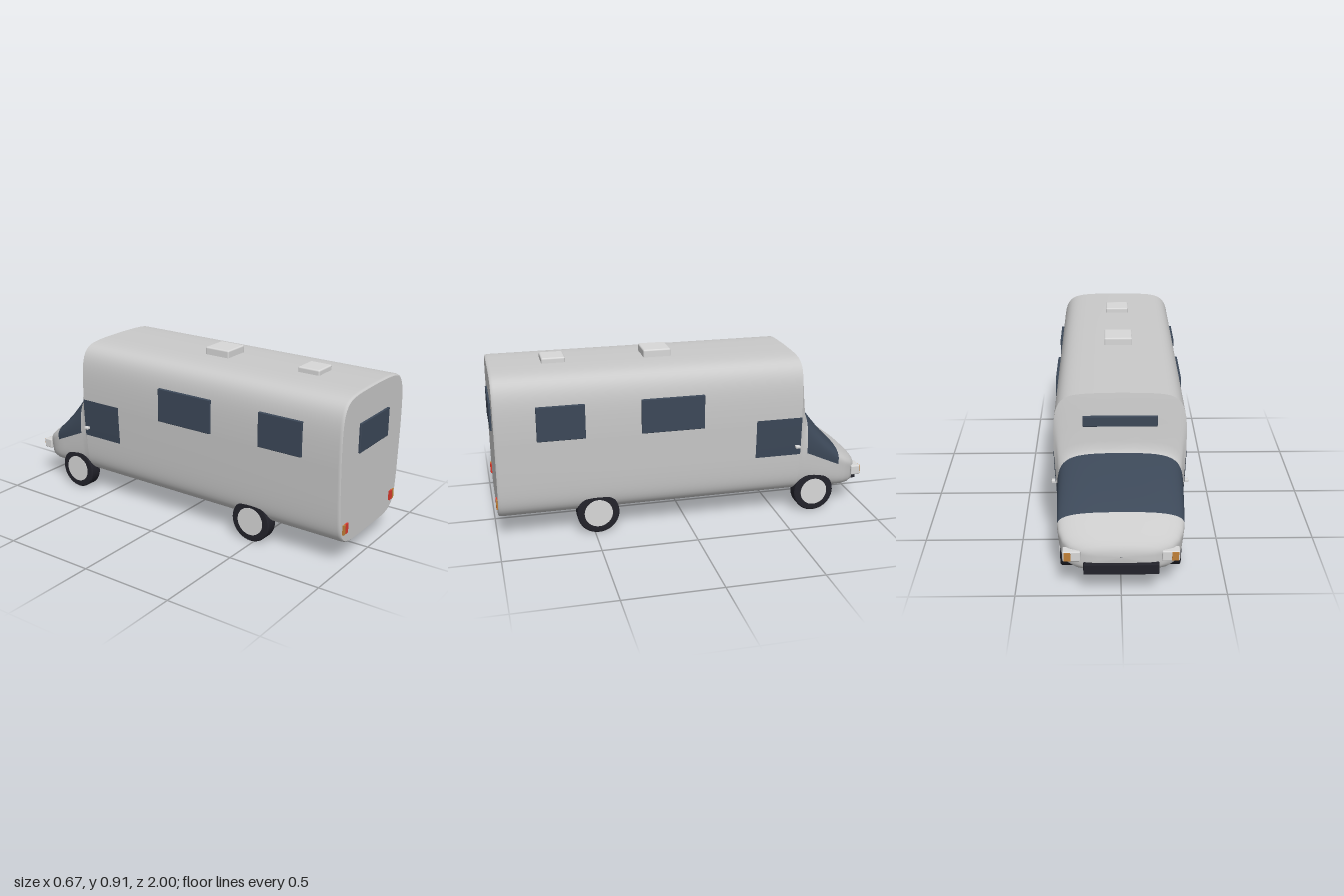
import * as THREE from 'three';
import { RoundedBoxGeometry } from 'three/addons/geometries/RoundedBoxGeometry.js';

const SEG = 20; // segments per quarter of a cross-section

function makeMaterial(name, color, side = THREE.FrontSide) {
  const m = new THREE.MeshStandardMaterial({ color, side });
  m.name = name;
  return m;
}

// Half width of the gently bowed side wall at height y
const wallX = (y) => 0.321 - 0.1 * (0.68 - y) ** 2;

// Closed cross-section: rounded below the belt line, rounded roof above it
function section({ z, top, bottom = 0.105, belt = 0.345, s = 1, pinch = 0, n = 8 }) {
  const half = [];
  for (let k = 0; k <= 2 * SEG; k++) {
    const upper = k >= SEG;
    let t = upper ? (k - SEG) / SEG : 1 - k / SEG;
    t -= (Math.sin(2 * Math.PI * t) / (2 * Math.PI)) * 0.8; // denser at both ends
    const a = (t * Math.PI) / 2;
    const p = 2 / (upper ? n : 5.5);
    const c = t > 0.9999 ? 0 : Math.cos(a) ** p;
    const v = Math.sin(a) ** p;
    const y = upper
      ? belt + (top - belt) * v - 0.015 * c * c * v * Math.min(1, (top - belt) / 0.2)
      : belt - (belt - bottom) * v;
    const squeeze = 1 - pinch * THREE.MathUtils.smoothstep(y, belt, belt + 0.2);
    half.push(new THREE.Vector3(c * wallX(y) * s * squeeze, y, z));
  }
  const mirrored = half.slice(1, -1).reverse().map((p) => new THREE.Vector3(-p.x, p.y, p.z));
  return [...half, ...mirrored];
}

// Skin through rings running from +z to -z; isGlass(i, j) picks the second material
function loft(rings, isGlass = () => false) {
  const n = rings[0].length;
  const faces = [[], []];
  for (let i = 0; i < rings.length - 1; i++) {
    for (let j = 0; j < n; j++) {
      const k = (j + 1) % n;
      const a = i * n + j, b = i * n + k, c = a + n, d = b + n;
      faces[isGlass(i, j) ? 1 : 0].push(a, c, b, b, c, d);
    }
  }
  const g = new THREE.BufferGeometry().setFromPoints(rings.flat());
  g.setIndex([...faces[0], ...faces[1]]);
  g.addGroup(0, faces[0].length, 0);
  g.addGroup(faces[0].length, faces[1].length, 1);
  g.computeVertexNormals();
  return g;
}

export function createModel() {
  const model = new THREE.Group();
  model.name = 'camperVan';
  const paint = makeMaterial('bodyGrey', 0xcacaca);
  const glass = makeMaterial('darkGlass', 0x3c4858, THREE.DoubleSide);
  const rubber = makeMaterial('blackRubber', 0x23232b);
  const trim = makeMaterial('lightTrim', 0xd8d8d8);
  const red = makeMaterial('tailRed', 0xdc3a2e);
  const amber = makeMaterial('signalAmber', 0xc08038);

  function add(name, geometry, material, parent = model) {
    const mesh = new THREE.Mesh(geometry, material);
    mesh.name = name;
    parent.add(mesh);
    return mesh;
  }
  // Box from its extents, optionally with rounded edges
  function block(name, material, [x0, x1], [y0, y1], [z0, z1], r = 0) {
    const d = [Math.abs(x1 - x0), y1 - y0, z1 - z0];
    const g = r ? new RoundedBoxGeometry(...d, 3, r) : new THREE.BoxGeometry(...d);
    add(name, g, material).position.set((x0 + x1) / 2, (y0 + y1) / 2, (z0 + z1) / 2);
  }

  // Living cabin with a softened rear edge
  const cabin = [
    { z: 0.99, top: 0.861, bottom: 0.111, s: 0.98 },
    { z: 0.986, top: 0.866, bottom: 0.107, s: 0.992 },
    { z: 0.975, top: 0.869 },
    { z: 0.2, top: 0.869 },
    { z: -0.61, top: 0.869 },
  ].map(section);
  add('cabin', loft(cabin), [paint, glass]);
  const rear = new THREE.Shape(cabin[0].map((p) => new THREE.Vector2(p.x, p.y)));
  add('rearWall', new THREE.ShapeGeometry(rear), paint).position.z = 0.99;

  // Front wall, wraparound windscreen and bonnet
  // z, top, bottom, belt, width scale, upper pinch, corner sharpness
  const nose = [
    [-0.61, 0.869, 0.105, 0.345, 1, 0, 8],
    [-0.617, 0.82, 0.105, 0.345, 0.997, 0.02, 7],
    [-0.627, 0.73, 0.105, 0.345, 0.993, 0.04, 6.5],
    [-0.638, 0.63, 0.105, 0.345, 0.99, 0.05, 6],
    [-0.645, 0.595, 0.105, 0.345, 0.988, 0.05, 5.5],
    [-0.655, 0.575, 0.105, 0.343, 0.988, 0.05, 5],
    [-0.70, 0.515, 0.105, 0.323, 0.988, 0.04, 4.6],
    [-0.75, 0.452, 0.105, 0.3, 0.99, 0.03, 4.2],
    [-0.80, 0.396, 0.105, 0.278, 0.992, 0.01, 4],
    [-0.84, 0.357, 0.105, 0.26, 0.992, 0, 3.8],
    [-0.88, 0.325, 0.106, 0.243, 0.97, 0, 3.6],
    [-0.92, 0.297, 0.109, 0.226, 0.91, 0, 3.4],
    [-0.95, 0.275, 0.115, 0.213, 0.81, 0, 3.2],
    [-0.97, 0.256, 0.128, 0.206, 0.67, 0, 3],
    [-0.98, 0.24, 0.145, 0.202, 0.53, 0, 3],
    [-0.985, 0.222, 0.17, 0.2, 0.38, 0, 3],
    [-0.986, 0.202, 0.198, 0.2, 0.02, 0, 3],
  ].map(([z, top, bottom, belt, s, pinch, n]) => section({ z, top, bottom, belt, s, pinch, n }));
  add('nose', loft(nose, (i, j) => i >= 5 && i < 9 && j >= SEG && j < 3 * SEG), [paint, glass]);

  // Rear window, slot window over the cab, bumper
  block('rearWindow', glass, [-0.15, 0.15], [0.557, 0.706], [0.98, 1], 0.003);
  block('cabSlotWindow', glass, [-0.178, 0.178], [0.705, 0.757], [-0.638, -0.6], 0.003);
  block('bumper', rubber, [-0.177, 0.177], [0.114, 0.17], [-1, -0.955], 0.005);

  // Roof vents
  block('largeRoofVent', trim, [-0.074, 0.074], [0.855, 0.907], [0.042, 0.188], 0.008);
  block('smallRoofVent', trim, [-0.064, 0.064], [0.855, 0.895], [0.595, 0.717], 0.008);

  for (const s of [1, -1]) {
    const side = s > 0 ? 'left' : 'right';
    const span = (a, b) => [s * a, s * b];

    // Side windows
    block(side + 'MiddleWindow', glass, span(0.30, 0.331), [0.543, 0.722], [-0.077, 0.252], 0.003);
    block(side + 'RearWindow', glass, span(0.30, 0.331), [0.543, 0.722], [0.538, 0.782], 0.003);

    // Door window laid on the bowed wall
    const pane = new THREE.PlaneGeometry(0.25, 0.21, 1, 8).rotateY((s * Math.PI) / 2);
    pane.translate(0, 0.45, -0.486);
    const pos = pane.attributes.position;
    for (let i = 0; i < pos.count; i++) pos.setX(i, s * (wallX(pos.getY(i)) + 0.002));
    pane.computeVertexNormals();
    add(side + 'DoorWindow', pane, glass);
    block(side + 'DoorHandle', trim, span(0.3, 0.336), [0.385, 0.4], [-0.604, -0.578], 0.004);

    // Tail lights, red inside and amber outside
    block(side + 'TailLight', red, span(0.225, 0.253), [0.174, 0.225], [0.985, 0.998]);
    block(side + 'TailSignal', amber, span(0.253, 0.271), [0.174, 0.225], [0.985, 0.998]);

    // Headlights with an amber plate on the outer front
    block(side + 'Headlight', trim, span(0.19, 0.274), [0.176, 0.228], [-0.982, -0.93], 0.006);
    block(side + 'FrontSignal', amber, span(0.236, 0.268), [0.18, 0.224], [-0.985, -0.98]);

    // Wheels
    for (const [where, z] of [['Front', -0.706], ['Rear', 0.48]]) {
      const wheel = new THREE.Group();
      wheel.name = side + where + 'Wheel';
      wheel.position.set(s * 0.258, 0.11, z);
      wheel.rotation.z = (-s * Math.PI) / 2;
      const profile = [[0, -0.034], [0.09, -0.034], [0.104, -0.034], [0.11, -0.028],
        [0.11, 0.03], [0.105, 0.035], [0.09, 0.036], [0, 0.036]];
      const flat = profile.slice(1).map((p, i) => new THREE.LatheGeometry(
        [profile[i], p].map(([r, y]) => new THREE.Vector2(r, y)), 40));
      flat.forEach((g) => add('tyre', g, rubber, wheel));
      add('hub', new THREE.CylinderGeometry(0.074, 0.074, 0.074, 40), trim, wheel).position.y = 0.001;
      model.add(wheel);
    }
  }
  return model;
}
